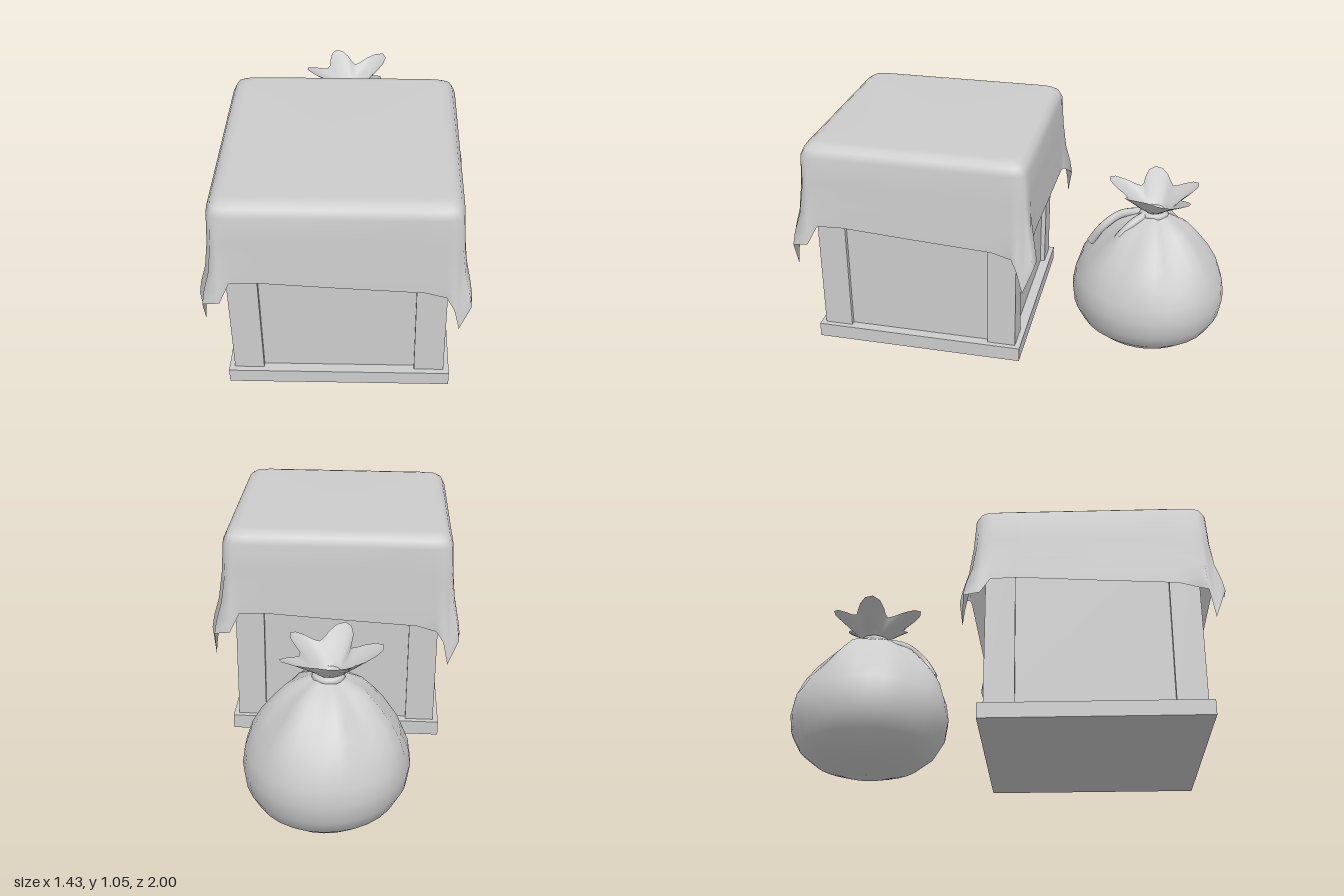
import * as THREE from 'three';

const grey = new THREE.MeshStandardMaterial({ color: 0xcccccc });
grey.name = 'plain grey';
const greyCloth = grey;
greyCloth.side = THREE.DoubleSide;

// Skin over closed rings of [x, y, z], listed from the top ring down, each counterclockwise from above
function loft(rings, capTop = false) {
  const n = rings[0].length;
  const pos = rings.flat(2);
  const idx = [];
  for (let i = 0; i < rings.length - 1; i++) {
    for (let j = 0; j < n; j++) {
      const a = i * n + j, b = i * n + (j + 1) % n;
      idx.push(a, a + n, b, b, a + n, b + n);
    }
  }
  if (capTop) {
    const c = pos.length / 3;
    pos.push(0, rings[0][0][1], 0);
    for (let j = 0; j < n; j++) idx.push(c, j, (j + 1) % n);
  }
  const g = new THREE.BufferGeometry();
  g.setAttribute('position', new THREE.Float32BufferAttribute(pos, 3));
  g.setIndex(idx);
  g.computeVertexNormals();
  return g;
}

function add(parent, name, geometry, x = 0, y = 0, z = 0) {
  const m = new THREE.Mesh(geometry, grey);
  m.name = name;
  m.position.set(x, y, z);
  parent.add(m);
  return m;
}

// Cloth corner: offsets from the corner (along side, outward) when rounded, and at the hem with its height
const CORNER = [
  // rounded u, v,   hem u, v, y
  [-0.16, 0, -0.16, 0, 0.645],
  [-0.08, 0, -0.075, 0, 0.62],
  [-0.04, -0.004, -0.045, 0.04, 0.59],
  [-0.02, -0.012, -0.02, 0.022, 0.47],
  [-0.012, -0.02, 0.025, 0.02, 0.59],
  [-0.004, -0.04, 0.03, -0.05, 0.60],
  [0, -0.08, 0, -0.09, 0.68],
  [0, -0.2, 0, -0.2, 0.685],
];

// One ring of the cloth: half width h, top height y, drop t (0 top, 1 hem), flare k of the corner folds
function clothRing(h, y, t, k) {
  const ring = [];
  for (let q = 0; q < 4; q++) {
    const side = [[0, y + (0.665 - y) * t, h]];
    for (const [u0, v0, u1, v1, hem] of CORNER) {
      side.push([h + u0 + (u1 - u0) * k, y + (hem - y) * t, h + v0 + (v1 - v0) * k]);
    }
    for (const [px, py, pz] of side) {
      let x = px, z = pz;
      for (let r = 0; r < q; r++) [x, z] = [z, -x];
      ring.push([x, py, z]);
    }
  }
  return ring;
}

function makeCrate() {
  const crate = new THREE.Group();
  crate.name = 'crate';
  add(crate, 'base', new THREE.BoxGeometry(0.958, 0.067, 0.958), 0, 0.099, 0);
  add(crate, 'panels', new THREE.BoxGeometry(0.866, 0.87, 0.866), 0, 0.565, 0);
  for (const sx of [-1, 1]) {
    for (const sz of [-1, 1]) {
      add(crate, 'cornerPost', new THREE.BoxGeometry(0.128, 0.87, 0.128), sx * 0.391, 0.565, sz * 0.391);
    }
  }
  add(crate, 'clothCover', loft([
    clothRing(0.435, 1.056, 0, 0),
    clothRing(0.465, 1.05, 0, 0),
    clothRing(0.488, 1.033, 0, 0),
    clothRing(0.503, 1.0, 0, 0),
    clothRing(0.508, 1.0, 0.35, 0.1),
    clothRing(0.514, 1.0, 0.65, 0.35),
    clothRing(0.518, 1.0, 0.85, 0.8),
    clothRing(0.52, 1.0, 1, 1),
  ], true));
  crate.position.set(0.005, 0, 0.295);
  crate.rotation.y = 0.39;
  return crate;
}

// Ring of n points from a rule giving radius and height at each angle
function ruleRing(n, rule) {
  return Array.from({ length: n }, (_, j) => {
    const a = (j / n) * Math.PI * 2;
    const [r, y] = rule(a);
    return [Math.sin(a) * r, y, Math.cos(a) * r * 1.04];
  });
}

function makeSack() {
  const sack = new THREE.Group();
  sack.name = 'sack';

  // Body, with pleats that deepen towards the tied neck
  const profile = [
    [0.045, 0.66], [0.09, 0.635], [0.155, 0.6], [0.205, 0.545], [0.255, 0.485], [0.30, 0.415],
    [0.333, 0.335], [0.344, 0.26], [0.333, 0.18], [0.295, 0.11], [0.23, 0.055], [0.13, 0.018], [0.001, 0.003],
  ];
  add(sack, 'sackBody', loft(profile.map(([r, y]) => ruleRing(30, a => {
    const pleat = Math.max(0, Math.min(1, (y - 0.33) / 0.25));
    return [r * (1 + pleat * (0.07 * Math.sin(7 * a) + 0.04 * Math.sin(4 * a + 1))), y];
  }))));

  // Gathered ruffle above the tie
  const ruffle = [[1, 0.775], [0.72, 0.735], [0.42, 0.695], [0.22, 0.66], [0.2, 0.63]];
  add(sack, 'ruffle', loft(ruffle.map(([s, y]) => ruleRing(40, a => {
    const wave = Math.cos(5 * a - 0.6) + 0.35 * Math.sin(3 * a);
    return [s * (0.165 + 0.045 * wave * s), y + (s > 0.3 ? s * 0.022 * Math.sin(5 * a + 0.8) - 0.012 : 0)];
  }))), -0.01, 0, 0);

  // Tie cord and its two loose ends
  const knot = add(sack, 'tieCord', new THREE.TorusGeometry(0.05, 0.018, 8, 20), -0.005, 0.65, 0);
  knot.rotation.x = Math.PI / 2;
  const ends = [
    [[0.04, 0.65, 0.02], [0.1, 0.625, 0.05], [0.15, 0.56, 0.09], [0.165, 0.51, 0.11]],
    [[0.01, 0.65, 0.05], [0.05, 0.625, 0.14], [0.11, 0.565, 0.2], [0.12, 0.48, 0.25]],
  ];
  for (const pts of ends) {
    const curve = new THREE.CatmullRomCurve3(pts.map(p => new THREE.Vector3(...p)));
    add(sack, 'cordEnd', new THREE.TubeGeometry(curve, 12, 0.02, 8));
    const tip = add(sack, 'cordTip', new THREE.CircleGeometry(0.02, 8), ...pts[3]);
    tip.quaternion.setFromUnitVectors(new THREE.Vector3(0, 0, 1), curve.getTangent(1));
  }
  sack.position.set(-0.37, 0, -0.64);
  return sack;
}

export function createModel() {
  const model = new THREE.Group();
  model.name = 'coveredCrateAndSack';
  model.add(makeCrate(), makeSack());
  return model;
}
